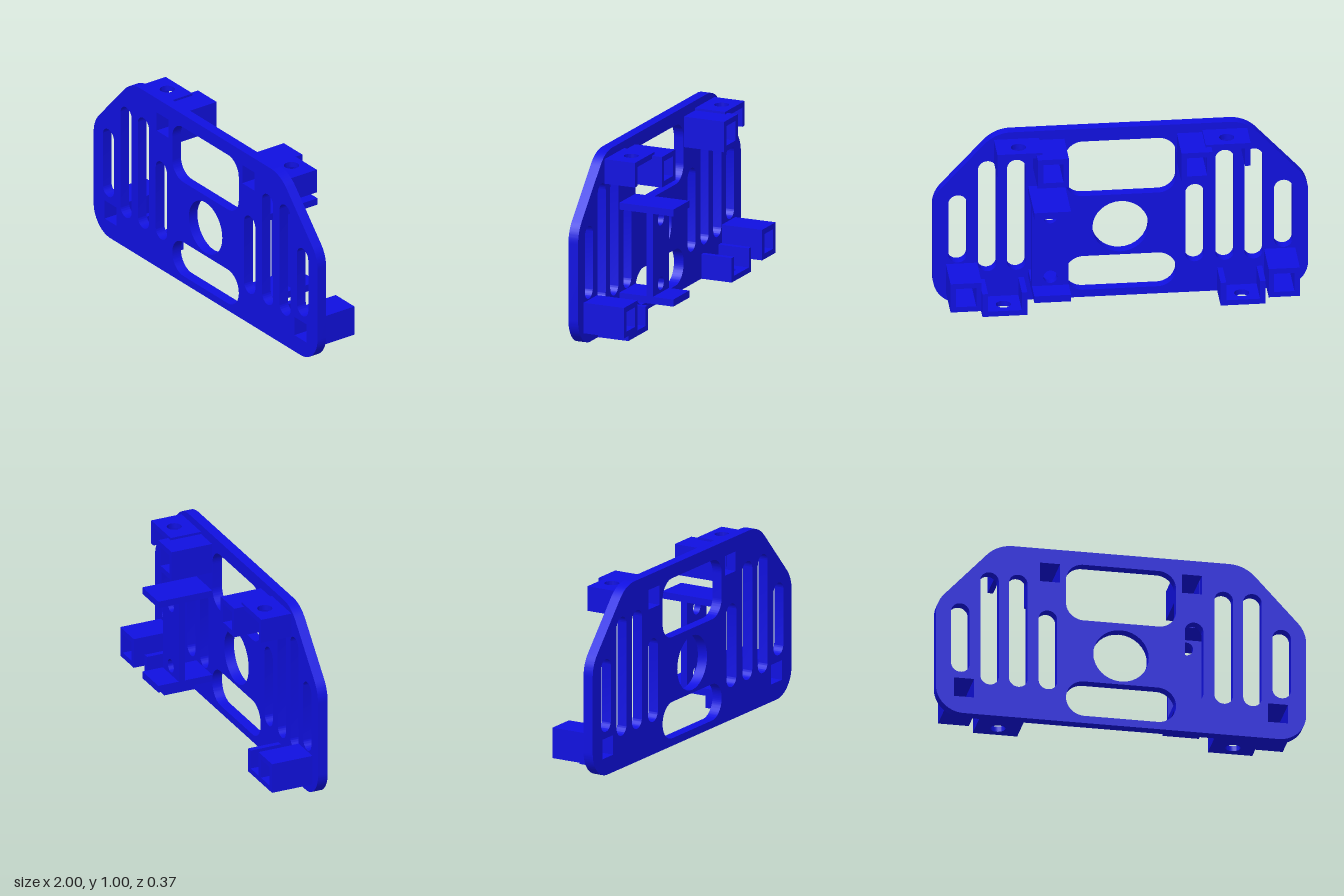
import * as THREE from 'three';
import { toCreasedNormals } from 'three/addons/utils/BufferGeometryUtils.js';

const BACK = 0.13, FRONT = 0.187; // faces of the main plate

export function createModel() {
  const model = new THREE.Group();
  model.name = 'mountingPlate';
  const material = new THREE.MeshStandardMaterial({ color: 0x1010e0 });

  const add = (name, geometry, parent = model) => {
    const mesh = new THREE.Mesh(geometry, material);
    mesh.name = name;
    parent.add(mesh);
    return mesh;
  };
  const box = (name, x0, x1, y0, y1, z0, z1, parent) =>
    add(name, new THREE.BoxGeometry(x1 - x0, y1 - y0, z1 - z0), parent)
      .position.set((x0 + x1) / 2, (y0 + y1) / 2, (z0 + z1) / 2);
  // Extrude a shape from z0 to z1
  const extrude = (shape, z0, z1) => toCreasedNormals(
    new THREE.ExtrudeGeometry(shape, { depth: z1 - z0, bevelEnabled: false, curveSegments: 16 })
      .translate(0, 0, z0), 0.6);
  const rect = (x0, x1, y0, y1, Type = THREE.Path) => new Type()
    .moveTo(x0, y0).lineTo(x1, y0).lineTo(x1, y1).lineTo(x0, y1).closePath();
  const circle = (x, y, r) => new THREE.Path().absarc(x, y, r, 0, Math.PI * 2);
  const rounded = (x0, x1, y0, y1, r) => new THREE.Path()
    .absarc(x1 - r, y0 + r, r, -Math.PI / 2, 0)
    .absarc(x1 - r, y1 - r, r, 0, Math.PI / 2)
    .absarc(x0 + r, y1 - r, r, Math.PI / 2, Math.PI)
    .absarc(x0 + r, y0 + r, r, Math.PI, Math.PI * 1.5)
    .closePath();

  // Square sockets: centre x, centre y
  const sockets = [[0.383, 0.863], [0.848, 0.15]];

  // Main plate: rounded bottom, chamfered and rounded top
  const plate = new THREE.Shape();
  plate.absarc(0.85, 0.15, 0.15, -Math.PI / 2, 0);
  plate.lineTo(1, 0.57);
  plate.quadraticCurveTo(1, 0.637, 0.953, 0.689);
  plate.lineTo(0.727, 0.935);
  plate.quadraticCurveTo(0.667, 1, 0.58, 1);
  plate.lineTo(-0.58, 1);
  plate.quadraticCurveTo(-0.667, 1, -0.727, 0.935);
  plate.lineTo(-0.953, 0.689);
  plate.quadraticCurveTo(-1, 0.637, -1, 0.57);
  plate.absarc(-0.85, 0.15, 0.15, Math.PI, Math.PI * 1.5);
  plate.closePath();

  // Centre openings
  plate.holes.push(
    rounded(-0.297, 0.297, 0.6, 0.925, 0.095),
    rounded(-0.297, 0.297, 0.042, 0.243, 0.099),
    circle(0, 0.41, 0.15));
  // Vertical slots and socket openings, mirrored
  const slots = [[0.395, 0.18, 0.64], [0.555, 0.18, 0.835], [0.71, 0.18, 0.835], [0.868, 0.24, 0.64]];
  for (const s of [-1, 1]) {
    for (const [x, y0, y1] of slots) plate.holes.push(rounded(s * x - 0.05, s * x + 0.05, y0, y1, 0.0499));
    for (const [x, y] of sockets) plate.holes.push(rect(s * x - 0.054, s * x + 0.054, y - 0.054, y + 0.054));
  }
  add('plate', extrude(plate, BACK, FRONT));

  // U-shaped screw tab: a drilled web with two side walls
  const screwTab = (name, x, webY, wallY0, wallY1) => {
    const tab = new THREE.Group();
    tab.name = name;
    model.add(tab);
    const web = rect(x - 0.12, x + 0.12, -BACK, 0.048, THREE.Shape);
    web.holes.push(circle(x, -0.03, 0.04));
    add('tabWeb', extrude(web, 0, 0.03).rotateX(-Math.PI / 2), tab).position.y = webY;
    for (const s of [-1, 1]) {
      const cx = x + s * 0.105;
      box('tabWall', cx - 0.015, cx + 0.015, wallY0, wallY1, -0.048, BACK, tab);
    }
  };

  for (const s of [-1, 1]) {
    // Square socket tubes
    for (const [x, y] of sockets) {
      const tube = rect(s * x - 0.083, s * x + 0.083, y - 0.084, y + 0.084, THREE.Shape);
      tube.holes.push(rect(s * x - 0.054, s * x + 0.054, y - 0.054, y + 0.054));
      add('socketTube', extrude(tube, -0.107, BACK));
    }
    screwTab('topTab', s * 0.555, 0.93, 0.825, 0.93);
    screwTab('bottomTab', s * 0.635, 0, 0.03, 0.135);
  }

  // Rear bracket on the left: two shelves and a drilled wall
  box('upperShelf', 0.297, 0.493, 0.636, 0.674, -0.187, BACK);
  box('lowerShelf', 0.297, 0.493, 0.14, 0.179, -0.187, BACK);
  const wall = rect(0.297, 0.493, 0.179, 0.636, THREE.Shape);
  wall.holes.push(circle(0.395, 0.23, 0.037), circle(0.395, 0.585, 0.037));
  add('bracketWall', extrude(wall, -0.067, -0.029));

  return model;
}
